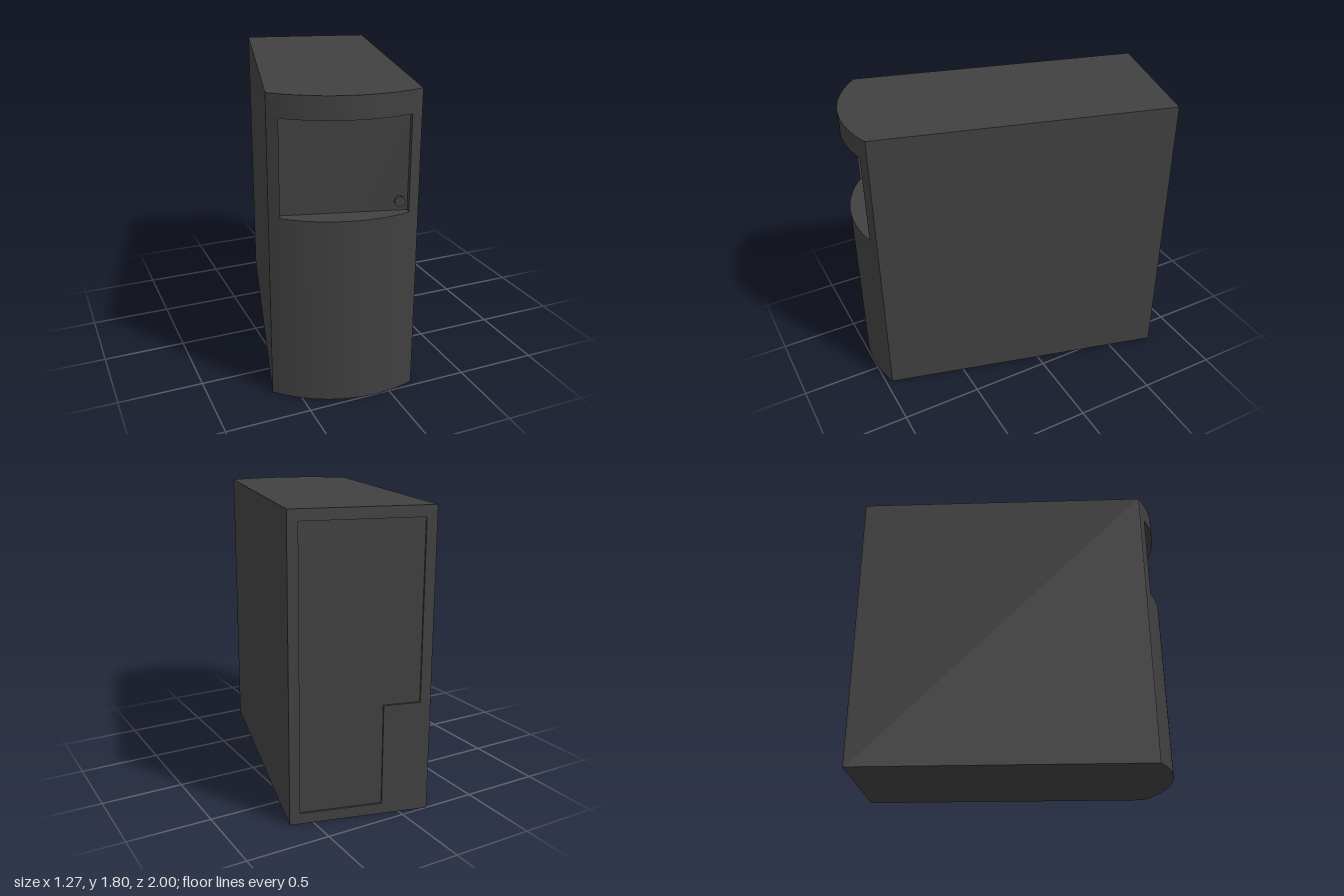
import * as THREE from 'three';
import { toCreasedNormals } from 'three/addons/utils/BufferGeometryUtils.js';

const W = 0.4165;        // half width
const D = 0.9035;        // half depth, without the bowed front
const H = 1.8;           // height
const R = 0.7565;        // radius of the bowed front
const ARC_Z = 0.272;     // centre of the bow
const PANEL_Z = 0.8985;  // plane of the recessed front panel
const BACK = 0.012;      // depth of the back recess

export function createModel() {
  const model = new THREE.Group();
  model.name = 'computerCase';
  const charcoal = new THREE.MeshStandardMaterial({ color: 0x404040 });
  charcoal.name = 'charcoal';

  const add = (name, geometry, x = 0, y = 0, z = 0) => {
    const mesh = new THREE.Mesh(geometry, charcoal);
    mesh.name = name;
    mesh.position.set(x, y, z);
    model.add(mesh);
  };

  // Upright slice of the bowed front between x0 and x1, y0 and y1
  const bowSlice = (name, x0, x1, y0, y1, steps) => {
    const shape = new THREE.Shape();
    shape.moveTo(x1, -PANEL_Z);
    shape.lineTo(x0, -PANEL_Z);
    const a0 = Math.asin(x0 / R), a1 = Math.asin(x1 / R);
    for (let i = 0; i <= steps; i++) {
      const a = a0 + (a1 - a0) * i / steps;
      shape.lineTo(R * Math.sin(a), -(ARC_Z + R * Math.cos(a)));
    }
    shape.closePath();
    const geometry = new THREE.ExtrudeGeometry(shape, { depth: y1 - y0, bevelEnabled: false });
    geometry.rotateX(-Math.PI / 2);
    add(name, toCreasedNormals(geometry, 0.4), 0, y0, 0);
  };

  // Main box, its front face forming the recessed panel
  const coreDepth = PANEL_Z + D - BACK;
  add('caseBody', new THREE.BoxGeometry(2 * W, H, coreDepth), 0, H / 2, PANEL_Z - coreDepth / 2);

  // Bowed front around the recess
  const rx = 0.355, ry0 = 1.115, ry1 = 1.67;
  bowSlice('frontLower', -W, W, 0, ry0, 32);
  bowSlice('frontUpper', -W, W, ry1, H, 32);
  bowSlice('frontRightCheek', -W, -rx, ry0, ry1, 4);
  bowSlice('frontLeftCheek', rx, W, ry0, ry1, 4);

  // Small round button on the recessed panel
  const button = new THREE.CylinderGeometry(0.03, 0.03, 0.02, 24);
  button.rotateX(Math.PI / 2);
  add('powerButton', button, 0.31, 1.17, PANEL_Z + 0.01);

  // Rim around the stepped recess at the back
  const rim = new THREE.Shape([
    [-W, 0], [W, 0], [W, H], [-W, H],
  ].map(([x, y]) => new THREE.Vector2(x, y)));
  rim.holes.push(new THREE.Path([
    [-0.135, 0.065], [-0.135, 0.675], [-0.355, 0.675],
    [-0.355, 1.735], [0.355, 1.735], [0.355, 0.065],
  ].map(([x, y]) => new THREE.Vector2(x, y))));
  add('backRim', new THREE.ExtrudeGeometry(rim, { depth: BACK, bevelEnabled: false }), 0, 0, -D);

  // The whole case stands turned by fifteen degrees
  model.rotation.y = -Math.PI / 12;
  model.position.set(-0.0025, 0, -0.02);
  const root = new THREE.Group();
  root.name = 'model';
  root.add(model);
  return root;
}
